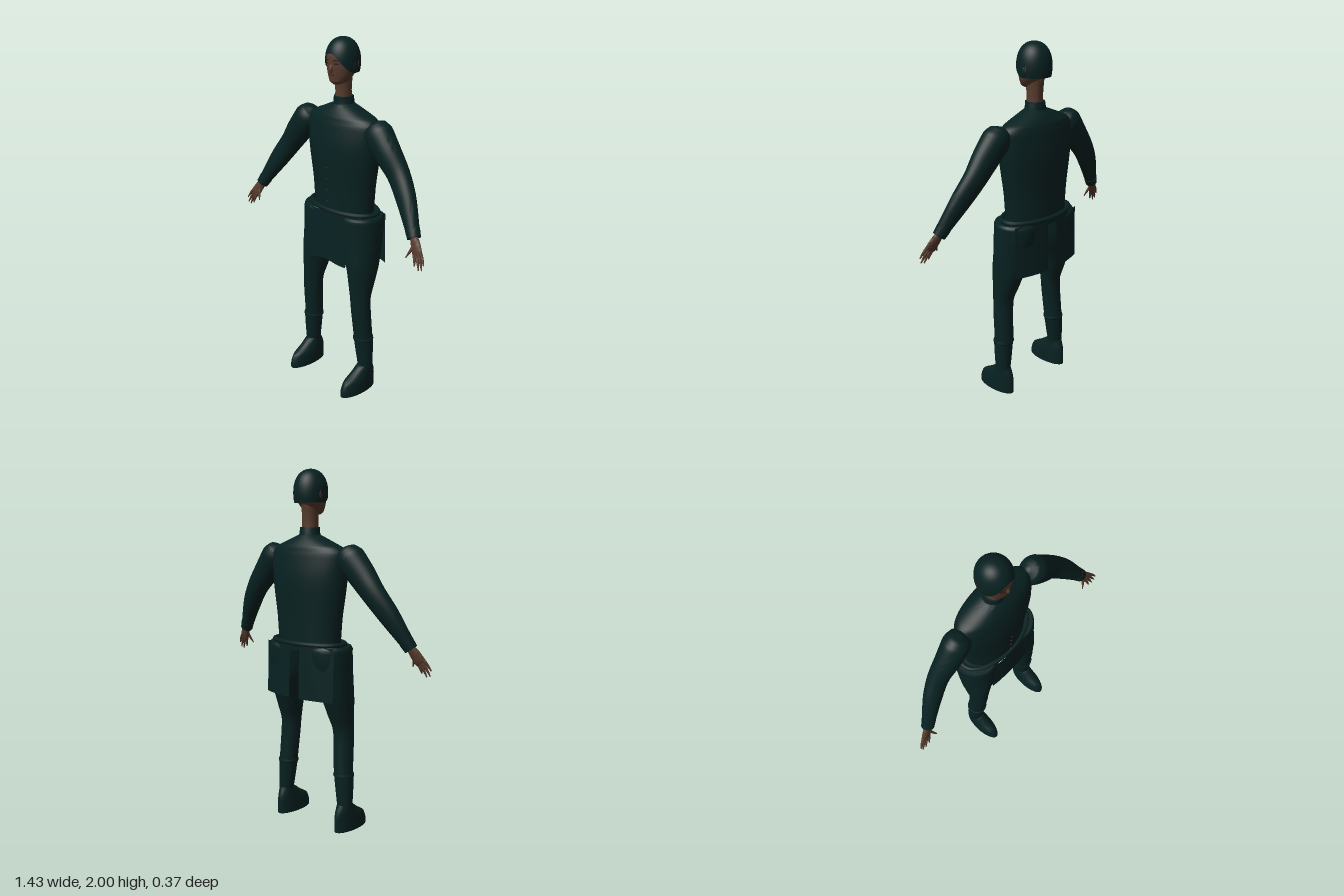
import * as THREE from 'three';
import { toCreasedNormals } from 'three/addons/utils/BufferGeometryUtils.js';

const mat = (name, color, side = THREE.FrontSide) => {
  const m = new THREE.MeshStandardMaterial({ color, side });
  m.name = name;
  return m;
};

// Closed skin along sections [x, y, z, radiusA, radiusB]; flat keeps the rings horizontal.
function sweep(sections, { flat = false, steps = 5, sides = 28, crease = 0.9 } = {}) {
  const centre = new THREE.CatmullRomCurve3(sections.map(s => new THREE.Vector3(s[0], s[1], s[2])));
  const radius = new THREE.CatmullRomCurve3(sections.map(s => new THREE.Vector3(s[3], s[4], 0)));
  const rings = (sections.length - 1) * steps;
  const pos = [], idx = [];
  const zAxis = new THREE.Vector3(0, 0, 1);
  for (let k = -1; k <= rings + 1; k++) {
    const t = Math.min(Math.max(k / rings, 0), 1);
    const c = centre.getPoint(t), r = radius.getPoint(t);
    const tan = flat ? new THREE.Vector3(0, 1, 0) : centre.getTangent(t);
    const u = tan.clone().cross(zAxis).normalize();
    const w = u.clone().cross(tan).normalize();
    const open = k >= 0 && k <= rings ? 1 : 0;
    for (let j = 0; j < sides; j++) {
      const th = (j / sides) * Math.PI * 2;
      const p = c.clone()
        .addScaledVector(u, Math.max(r.x, 0) * Math.cos(th) * open)
        .addScaledVector(w, Math.max(r.y, 0) * Math.sin(th) * open);
      pos.push(p.x, p.y, p.z);
    }
  }
  for (let k = 0; k < rings + 2; k++) {
    for (let j = 0; j < sides; j++) {
      const a = k * sides + j, b = k * sides + (j + 1) % sides;
      idx.push(a, a + sides, b, b, a + sides, b + sides);
    }
  }
  const g = new THREE.BufferGeometry();
  g.setAttribute('position', new THREE.Float32BufferAttribute(pos, 3));
  g.setIndex(idx);
  return toCreasedNormals(g, crease);
}

// Open surface from a rule (u, v) -> [x, y, z]
function sheet(rule, nu, nv) {
  const g = new THREE.PlaneGeometry(1, 1, nu, nv);
  const p = g.attributes.position;
  for (let i = 0; i < p.count; i++) p.setXYZ(i, ...rule(p.getX(i) + 0.5, p.getY(i) + 0.5));
  g.computeVertexNormals();
  return g;
}

export function createModel() {
  const model = new THREE.Group();
  model.name = 'figure';
  const cloth = mat('dark teal cloth', 0x082121, THREE.DoubleSide);
  const skin = mat('brown skin', 0x573b2d);
  const dark = mat('dark brown features', 0x2a1a14);
  const red = mat('dull red', 0x4a2420);
  const add = (name, geometry, material, parent = model) => {
    const m = new THREE.Mesh(geometry, material);
    m.name = name;
    parent.add(m);
    return m;
  };

  // Torso, collar and neck
  add('torso', sweep([
    [0, 1.05, -0.043, 0.203, 0.118], [0, 1.2, -0.043, 0.215, 0.121], [0, 1.43, -0.042, 0.249, 0.128],
    [0, 1.55, -0.044, 0.252, 0.11], [0, 1.585, -0.045, 0.225, 0.1], [0, 1.62, -0.043, 0.14, 0.079],
    [0, 1.655, -0.04, 0.05, 0.05]], { flat: true, sides: 48 }), cloth);
  add('collar', sweep([[0, 1.63, -0.04, 0.062, 0.058], [0, 1.66, -0.04, 0.058, 0.055],
    [0, 1.69, -0.038, 0.054, 0.053]], { flat: true }), cloth);
  add('neck', sweep([[0, 1.65, -0.037, 0.046, 0.047], [0, 1.72, -0.036, 0.043, 0.045],
    [0, 1.82, -0.036, 0.046, 0.055]], { flat: true }), skin);
  for (let i = 0; i < 4; i++) {
    const b = add('button', new THREE.SphereGeometry(0.004, 10, 8), red);
    b.position.set(0, 1.31 - i * 0.063, 0.091 - i * 0.002);
  }

  // Belt and the lid beneath it
  const ring = Array.from({ length: 32 }, (_, i) => {
    const a = (i / 32) * Math.PI * 2;
    return new THREE.Vector3(0.236 * Math.cos(a), 1.066, -0.045 + 0.124 * Math.sin(a));
  });
  add('belt', new THREE.TubeGeometry(new THREE.CatmullRomCurve3(ring, true), 72, 0.013, 10, true), cloth);
  add('waist', sweep([[0, 1.03, -0.043, 0.24, 0.122], [0, 1.064, -0.043, 0.236, 0.122]],
    { flat: true, sides: 48 }), cloth);

  // Coat skirt: one front panel, two back tails with a slit between
  add('frontPanel', sheet((u, v) => {
    const x = (u - 0.5) * 0.29;
    return [x, 0.775 - 0.015 * Math.min(Math.abs(x) / 0.1, 1) * (1 - v) + v * 0.28, 0.097 - 0.5 * x * x - 0.008 * v];
  }, 16, 4), cloth);
  for (const s of [1, -1]) {
    add('coatTail', sheet((u, v) => {
      const x = 0.035 + u * 0.208;
      return [s * x, 0.76 + v * 0.295, -0.176 + 0.78 * x * x + 0.006 * v];
    }, 18, 4), cloth);
  }

  // Head
  const head = new THREE.Group();
  head.name = 'head';
  model.add(head);
  add('face', sweep([
    [0, 1.757, 0.008, 0.02, 0.025], [0, 1.77, 0, 0.046, 0.046], [0, 1.8, -0.015, 0.068, 0.065],
    [0, 1.85, -0.03, 0.084, 0.086], [0, 1.9, -0.033, 0.086, 0.091], [0, 1.945, -0.033, 0.068, 0.072],
    [0, 1.97, -0.033, 0.03, 0.032]], { flat: true, sides: 36 }), skin, head);
  // Close cap, high over the brow and low at the sides and back
  add('cap', sheet((u, v) => {
    const th = (u - 0.5) * Math.PI * 2;
    const edge = 1.82 + 0.1 * Math.pow(Math.max(Math.cos(th), 0), 2.2);
    const y = 2 - (2 - edge) * (1 - v) ** 2.2;
    const r = y > 1.87 ? Math.max(1 - ((y - 1.87) / 0.13) ** 2.3, 0) ** 0.46 : 1 - 24 * (1.87 - y) ** 2;
    return [0.093 * r * Math.sin(th), y, -0.032 + 0.097 * r * Math.cos(th)];
  }, 48, 20), cloth, head);
  const nose = add('nose', new THREE.SphereGeometry(1, 12, 10), skin, head);
  nose.scale.set(0.011, 0.024, 0.013);
  nose.position.set(0, 1.842, 0.054);
  nose.rotation.x = -0.2;
  add('mouth', new THREE.BoxGeometry(0.034, 0.008, 0.009), red, head).position.set(0, 1.808, 0.049);
  for (const s of [1, -1]) {
    const eye = add('eye', new THREE.BoxGeometry(0.024, 0.007, 0.009), dark, head);
    eye.position.set(s * 0.034, 1.868, 0.0485);
    const brow = add('eyebrow', new THREE.BoxGeometry(0.032, 0.005, 0.009), dark, head);
    brow.position.set(s * 0.035, 1.886, 0.0505);
    eye.rotation.y = brow.rotation.y = s * 0.4;
    // Ear mostly under the cap, with a bare strip at its back
    const ear = add('ear', new THREE.SphereGeometry(1, 14, 10), cloth, head);
    ear.scale.set(0.008, 0.03, 0.02);
    ear.position.set(s * 0.088, 1.852, -0.035);
    const strip = add('earBack', new THREE.SphereGeometry(1, 12, 8), red, head);
    strip.scale.set(0.005, 0.018, 0.005);
    strip.position.set(s * 0.0885, 1.865, -0.056);
  }

  for (const s of [1, -1]) {
    const side = s > 0 ? 'left' : 'right';
    const flip = list => list.map(([x, ...rest]) => [s * x, ...rest]);

    // Arm with full shoulder, cuff and hand
    const arm = new THREE.Group();
    arm.name = side + 'Arm';
    model.add(arm);
    add('sleeve', sweep(flip([
      [0.234, 1.585, -0.03, 0.012, 0.012], [0.248, 1.567, -0.03, 0.06, 0.056], [0.278, 1.525, -0.026, 0.083, 0.072],
      [0.35, 1.44, -0.02, 0.078, 0.065], [0.425, 1.35, -0.018, 0.067, 0.054], [0.5, 1.25, 0.005, 0.06, 0.047],
      [0.605, 1.085, 0.055, 0.035, 0.033]])), cloth, arm);
    add('cuff', sweep(flip([[0.588, 1.112, 0.046, 0.041, 0.037], [0.612, 1.073, 0.058, 0.037, 0.034]])), cloth, arm);
    add('palm', sweep(flip([[0.605, 1.085, 0.055, 0.022, 0.018], [0.63, 1.048, 0.067, 0.031, 0.015],
      [0.652, 1.012, 0.078, 0.034, 0.012], [0.66, 1.0, 0.082, 0.028, 0.008]]), { sides: 16 }), skin, arm);
    const fingers = [
      [0.622, 1.045, 0.07, 0.597, 0.975, 0.1], [0.636, 1.002, 0.082, 0.655, 0.944, 0.1],
      [0.648, 1.006, 0.081, 0.684, 0.93, 0.1], [0.66, 1.015, 0.08, 0.705, 0.936, 0.1],
      [0.67, 1.026, 0.078, 0.713, 0.965, 0.097]];
    for (const [x, y, z, X, Y, Z] of fingers) {
      add('finger', sweep(flip([[x, y, z, 0.009, 0.009],
        [(x + X) / 2 + 0.003, (y + Y) / 2, (z + Z) / 2, 0.0075, 0.0075],
        [X, Y, Z, 0.003, 0.003]]), { sides: 10, steps: 3 }), skin, arm);
    }

    // Leg, boot shaft and shoe
    const leg = new THREE.Group();
    leg.name = side + 'Leg';
    model.add(leg);
    add('trouserLeg', sweep(flip([
      [0.145, 1.055, -0.036, 0.117, 0.114], [0.142, 1.035, -0.038, 0.129, 0.124], [0.145, 0.97, -0.036, 0.126, 0.123],
      [0.152, 0.88, -0.027, 0.118, 0.115], [0.182, 0.76, -0.012, 0.084, 0.099], [0.191, 0.66, 0.004, 0.069, 0.077],
      [0.198, 0.57, 0.018, 0.058, 0.058], [0.21, 0.33, 0.005, 0.054, 0.053]]),
    { flat: true, sides: 36 }), cloth, leg);
    add('bootShaft', sweep(flip([[0.226, 0.14, 0, 0.043, 0.042], [0.22, 0.23, 0.003, 0.05, 0.049],
      [0.213, 0.325, 0.006, 0.056, 0.055]]), { flat: true }), cloth, leg);
    add('bootRim', sweep(flip([[0.213, 0.313, 0.006, 0.057, 0.056], [0.212, 0.322, 0.006, 0.06, 0.058],
      [0.212, 0.333, 0.006, 0.057, 0.056]]), { flat: true, steps: 3 }), cloth, leg);
    add('shoe', sweep(flip([
      [0.22, 0, 0.058, 0.05, 0.128], [0.22, 0.03, 0.057, 0.05, 0.127], [0.22, 0.075, 0.047, 0.048, 0.117],
      [0.221, 0.11, 0.022, 0.044, 0.086], [0.223, 0.155, 0, 0.038, 0.045]]), { flat: true, sides: 32 }), cloth, leg);
  }
  return model;
}
